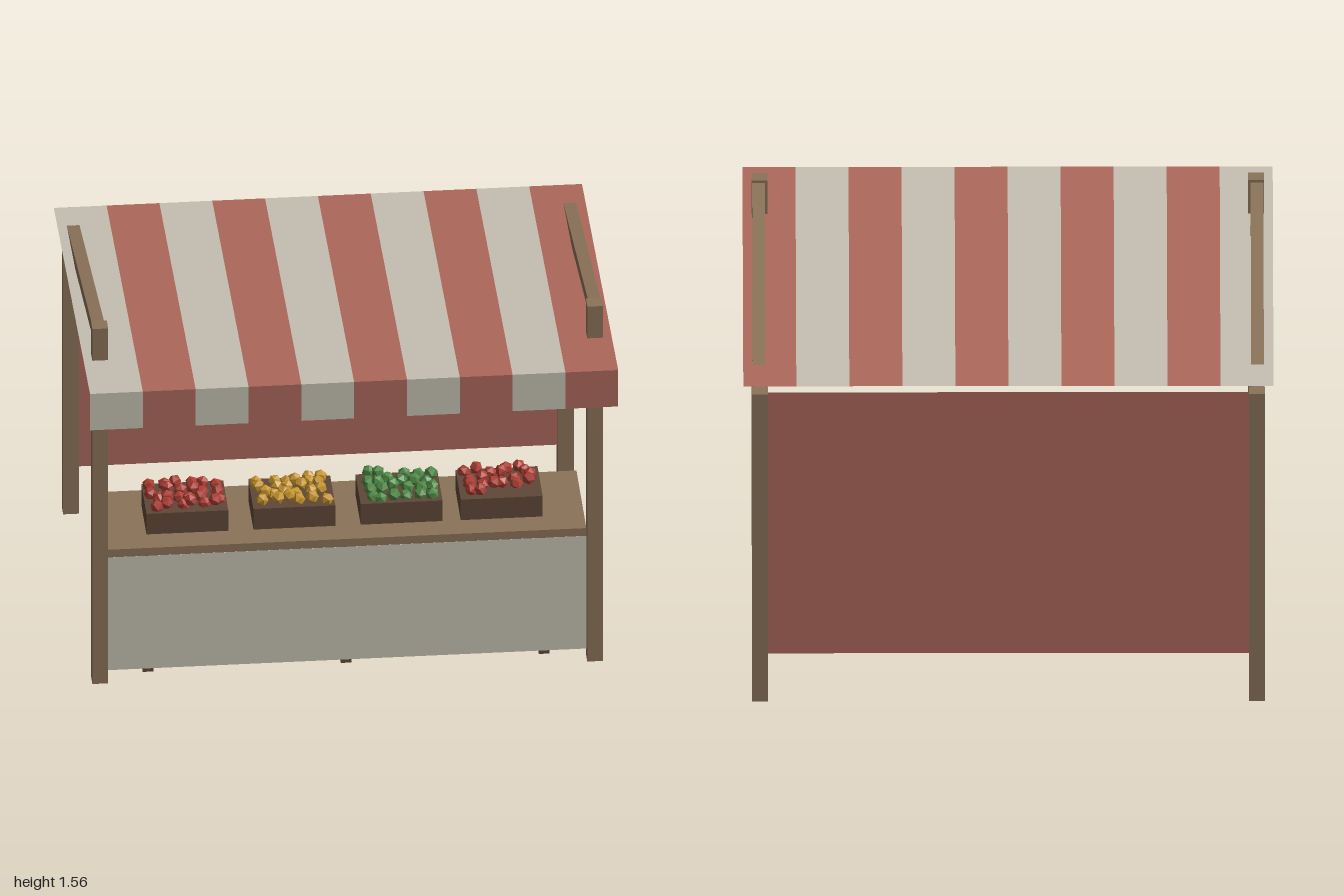
import * as THREE from 'three';

const mat = (name, color, extra = {}) => {
  const m = new THREE.MeshStandardMaterial({ color, ...extra });
  m.name = name;
  return m;
};

export function createModel() {
  const stall = new THREE.Group();
  stall.name = 'marketStall';

  const wood = mat('wood', 0x8b7359);
  const darkWood = mat('darkWood', 0x5f4737);
  const cream = mat('creamCloth', 0xc5c0b2, { side: THREE.DoubleSide });
  const red = mat('redCloth', 0xad685b, { side: THREE.DoubleSide });
  const redFruit = mat('redFruit', 0xad3d34, { flatShading: true });
  const yellowFruit = mat('yellowFruit', 0xc6952f, { flatShading: true });
  const greenFruit = mat('greenFruit', 0x4f8a47, { flatShading: true });

  const add = (name, geometry, material, x = 0, y = 0, z = 0, parent = stall) => {
    const mesh = new THREE.Mesh(geometry, material);
    mesh.name = name;
    mesh.position.set(x, y, z);
    parent.add(mesh);
    return mesh;
  };
  const box = (name, material, w, h, d, x, y, z, parent) =>
    add(name, new THREE.BoxGeometry(w, h, d), material, x, y, z, parent);

  // Frame: two tall front posts, two shorter rear posts, sloping rails
  const railFront = { y: 1.53, z: 0.47 }, railBack = { y: 1.292, z: -0.75 };
  const dy = railFront.y - railBack.y, dz = railFront.z - railBack.z;
  for (const side of [-1, 1]) {
    box('frontPost', wood, 0.06, 1.56, 0.06, side * 0.937, 0.78, 0.486);
    box('rearPost', wood, 0.06, 1.313, 0.06, side * 0.937, 0.6565, -0.765);
    const rail = box('roofRail', wood, 0.048, 0.045, Math.hypot(dy, dz), side * 0.94,
      (railFront.y + railBack.y) / 2, (railFront.z + railBack.z) / 2);
    rail.rotation.x = -Math.atan2(dy, dz);
  }

  // Striped canopy with a hanging front valance
  const front = { y: 1.44, z: 0.79 }, back = { y: 1.331, z: -0.765 };
  const rise = front.y - back.y, run = front.z - back.z;
  for (let i = 0; i < 10; i++) {
    const x = -0.9 + i * 0.2;
    const cloth = i % 2 ? red : cream;
    const stripe = add('canopyStripe', new THREE.PlaneGeometry(0.2, Math.hypot(rise, run)), cloth,
      x, (front.y + back.y) / 2, (front.z + back.z) / 2);
    stripe.rotation.x = -Math.PI / 2 - Math.atan2(rise, run);
    add('valanceStripe', new THREE.PlaneGeometry(0.2, 0.16), cloth, x, 1.36, front.z);
  }

  // Cloth wall at the back and cloth panel below the counter
  add('backCloth', new THREE.PlaneGeometry(1.82, 1.115), red, 0, 0.7475, -0.765);
  add('frontCloth', new THREE.PlaneGeometry(1.82, 0.495), cream, 0, 0.2825, 0.478);

  // Counter with three legs
  box('counter', wood, 1.814, 0.034, 0.425, 0, 0.547, 0.265);
  for (const x of [-0.75, 0, 0.75]) box('counterLeg', darkWood, 0.04, 0.53, 0.04, x, 0.265, 0.424);

  // Crates with heaped fruit
  let seed = 11;
  const random = () => {
    seed = (seed * 16807) % 2147483647;
    return seed / 2147483647;
  };
  const fruitGeometry = new THREE.IcosahedronGeometry(0.026, 0);
  const crates = [
    [-0.595, redFruit, 24], [-0.19, yellowFruit, 24],
    [0.216, greenFruit, 24], [0.595, redFruit, 20],
  ];
  for (const [x, material, count] of crates) {
    const crate = new THREE.Group();
    crate.name = 'fruitCrate';
    crate.position.set(x, 0.564, 0.268);
    stall.add(crate);
    box('crate', darkWood, 0.31, 0.09, 0.22, 0, 0.045, 0, crate);
    for (let i = 0; i < count; i++) {
      // Spread evenly over a loose grid, with a few fruits raised
      const col = i % 6, row = Math.floor(i / 6);
      const fruit = add('fruit', fruitGeometry, material,
        (col - 2.5) * 0.046 + (random() - 0.5) * 0.03,
        0.092 + random() * 0.032,
        (row - 1.5) * 0.048 + (random() - 0.5) * 0.025, crate);
      fruit.rotation.set(random() * 6, random() * 6, 0);
    }
  }
  return stall;
}
